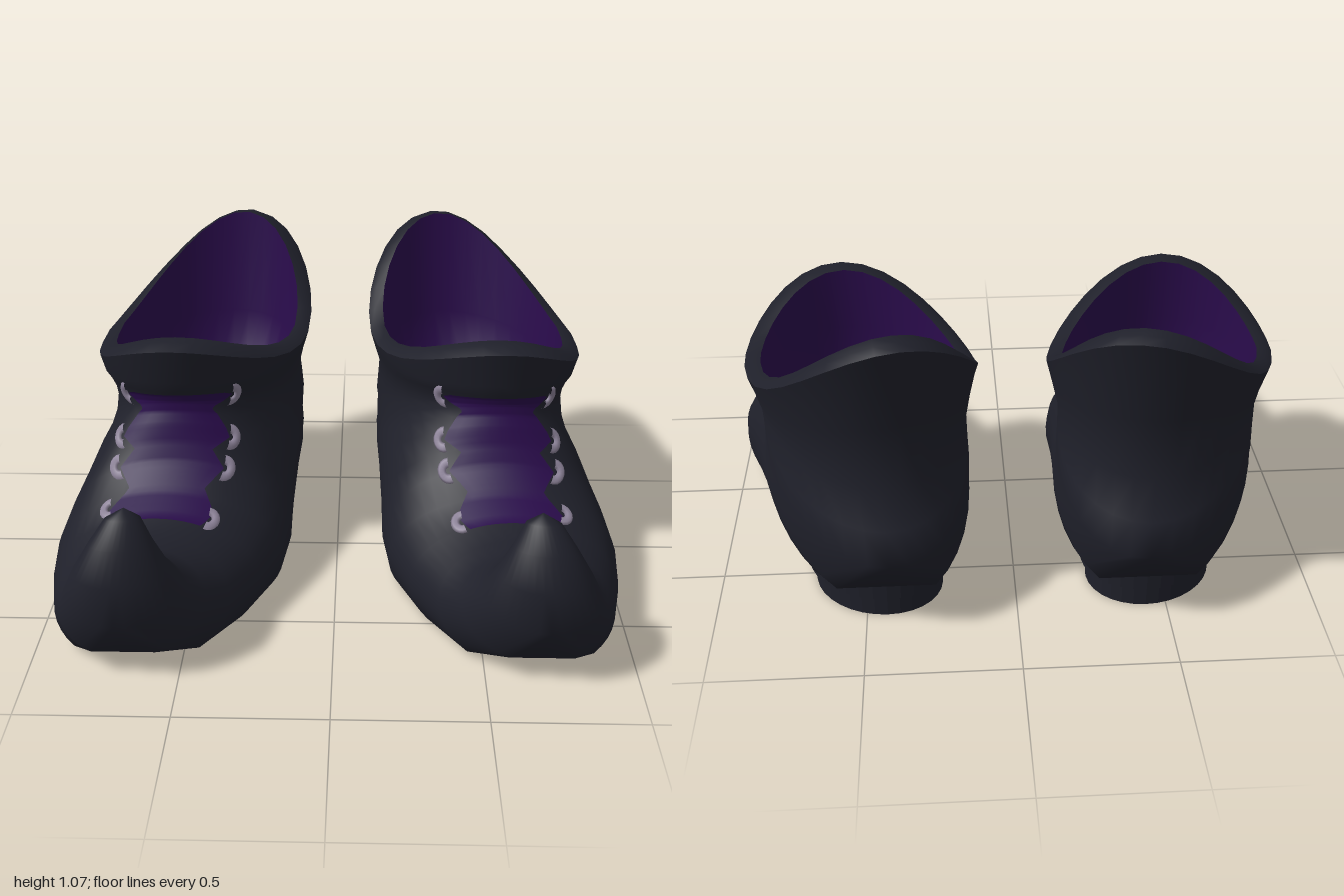
import * as THREE from 'three';
import { mergeGeometries, mergeVertices } from 'three/addons/utils/BufferGeometryUtils.js';

const leather = new THREE.MeshStandardMaterial({ color: 0x1f202a });
leather.name = 'black leather';
const purple = new THREE.MeshStandardMaterial({ color: 0x290b4a });
purple.name = 'purple cloth';
const metal = new THREE.MeshStandardMaterial({ color: 0x8c8298 });
metal.name = 'grey eyelet';

// Cross-sections fanning from the toe tip to the collar:
// [top z, top y, bottom z, bottom y, half width, cut (1 = full ellipse, less = flat bottom), side dip]
const BODY = [
  [0.675, 0.565, 0.675, 0.565, 0, 1, 0],
  [0.645, 0.525, 0.735, 0.55, 0.055, 1, 0],
  [0.65, 0.46, 0.80, 0.48, 0.10, 1, 0],
  [0.645, 0.40, 0.845, 0.37, 0.15, 1, 0],
  [0.61, 0.355, 0.857, 0.23, 0.195, 1, 0],
  [0.55, 0.335, 0.79, 0.087, 0.24, 0.9, 0],
  [0.48, 0.335, 0.67, 0.015, 0.295, 0.7, 0],
  [0.38, 0.345, 0.47, 0, 0.36, 0.54, 0],
  [0.28, 0.385, 0.27, 0, 0.405, 0.45, 0],
  [0.20, 0.46, 0.10, 0, 0.405, 0.5, 0],
  [0.165, 0.52, -0.09, 0.03, 0.385, 0.6, 0],
  [0.14, 0.58, -0.37, 0.08, 0.365, 0.72, 0],
  [0.12, 0.62, -0.60, 0.09, 0.35, 0.78, 0],
  [0.115, 0.65, -0.735, 0.13, 0.34, 0.88, 0],
  [0.115, 0.66, -0.847, 0.30, 0.335, 1, 0],
  [0.12, 0.68, -0.81, 0.41, 0.335, 1, 0],
  [0.13, 0.70, -0.737, 0.53, 0.34, 1, 0],
  [0.14, 0.74, -0.745, 0.75, 0.36, 1, 0.07],
  [0.165, 0.87, -0.815, 1.05, 0.378, 1, 0.22],
];
const COLLAR = [
  BODY[18],
  [0.12, 0.888, -0.785, 1.065, 0.355, 1, 0.22],
  [0.07, 0.885, -0.745, 1.068, 0.325, 1, 0.215],
];
const LINING = [
  COLLAR[2],
  [0.07, 0.66, -0.69, 0.68, 0.31, 1, 0.02],
  [0.08, 0.44, -0.64, 0.46, 0.28, 1, 0],
  [0.04, 0.30, -0.46, 0.31, 0.20, 1, 0],
  [-0.12, 0.27, -0.12, 0.27, 0, 1, 0],
];

// The foot axis points slightly outward
const axisX = z => 0.55 + 0.163 * z;

function sectionAt(rings, s) {
  const i = Math.min(Math.floor(s), rings.length - 2);
  return rings[i].map((v, k) => v + (rings[i + 1][k] - v) * (s - i));
}

// Point on a lofted surface: s along the sections, t the angle from the top, lift outward
function surfacePoint(rings, s, t, lift = 0) {
  const [az, ay, bz, by, hw, cut, dip] = sectionAt(rings, s);
  const len = Math.hypot(az - bz, ay - by) || 1;
  const w = Math.cos(t);
  const v = (w + cut) / (1 + cut) + (lift * w) / len;
  const z = bz + (az - bz) * v;
  // The rim dips at the sides, a little lower on the outer back
  const sag = 1 - w * w + 0.4 * Math.sin(t) * Math.max(0, -w);
  const y = by + (ay - by) * v - dip * sag;
  return new THREE.Vector3(axisX(z) + Math.sin(t) * (hw + lift), y, z);
}

const edgeAngle = (rings, s) => Math.acos(-Math.min(1, sectionAt(rings, s)[5]));

// Weld the parts into one smooth skin
function weld(parts) {
  const g = mergeGeometries(parts);
  g.deleteAttribute('normal');
  const welded = mergeVertices(g, 1e-5);
  welded.computeVertexNormals();
  return welded;
}

// Skin between rows and columns of points
function grid(rows, cols, point) {
  const pos = [], idx = [];
  for (let i = 0; i <= rows; i++)
    for (let j = 0; j <= cols; j++) pos.push(...point(i, j / cols).toArray());
  for (let i = 0; i < rows; i++)
    for (let j = 0; j < cols; j++) {
      const a = i * (cols + 1) + j, b = a + cols + 1;
      idx.push(a, a + 1, b, a + 1, b + 1, b);
    }
  const g = new THREE.BufferGeometry();
  g.setAttribute('position', new THREE.Float32BufferAttribute(pos, 3));
  g.setIndex(idx);
  return weld([g]);
}

const loft = rings => grid(rings.length - 1, 32, (i, f) => {
  const T = edgeAngle(rings, i);
  return surfacePoint(rings, i, (2 * f - 1) * T);
});

// Flat underside between the lower edges of the body
const underside = (from, to) => grid(to - from, 2, (i, f) => {
  const T = edgeAngle(BODY, from + i);
  return surfacePoint(BODY, from + i, T).lerp(surfacePoint(BODY, from + i, -T), f);
});

// Half width of the lacing panel along the instep: [section, half width]
const SCALLOPS = [[6.8, 0.15], [7.4, 0.18], [8.2, 0.13], [9, 0.18], [9.8, 0.135],
  [10.6, 0.185], [12.5, 0.12], [15, 0.18], [15.4, 0.16]];
// Sections where eyelets sit, on the inner (-1) and outer (1) edge
const EYELETS = [[-1, [7.15, 9, 10.6, 14.9]], [1, [7.5, 9, 10.6, 14.9]]];

function panelAngle(s) {
  let k = 0;
  while (k < SCALLOPS.length - 2 && s > SCALLOPS[k + 1][0]) k++;
  const [s0, w0] = SCALLOPS[k], [s1, w1] = SCALLOPS[k + 1];
  const w = w0 + (w1 - w0) * Math.min(1, (s - s0) / (s1 - s0));
  return Math.asin(w / sectionAt(BODY, s)[4]);
}

const lacingPanel = () => grid(43, 10, (i, f) => {
  const s = 6.8 + 0.2 * i;
  return surfacePoint(BODY, s, (2 * f - 1) * panelAngle(s), 0.008);
});

// Horseshoe eyelet lying on the surface, bulging away from the panel
function eyelet(s, side) {
  const t = side * panelAngle(s);
  const p = surfacePoint(BODY, s, t, 0.01);
  const dt = surfacePoint(BODY, s, t + 0.02, 0.01).sub(p);
  const ds = surfacePoint(BODY, s + 0.02, t, 0.01).sub(p);
  const normal = dt.clone().cross(ds).normalize();
  const out = dt.normalize().multiplyScalar(side);
  const up = normal.clone().cross(out);
  const arc = Math.PI * 1.1;
  const g = new THREE.TorusGeometry(0.026, 0.015, 6, 10, arc);
  g.rotateZ(-arc / 2);
  g.scale(1, 1.15, 0.6);
  g.applyMatrix4(new THREE.Matrix4().makeBasis(out, up, normal).setPosition(p));
  return g;
}

// D-shaped heel block, rounded at the back
function heelBlock(hw, front, back, y0, y1) {
  const shape = new THREE.Shape();
  const mid = back + hw * 0.9;
  shape.moveTo(-hw, -front);
  shape.lineTo(hw, -front);
  shape.lineTo(hw, -mid);
  shape.absellipse(0, -mid, hw, mid - back, 0, Math.PI, false);
  const g = new THREE.ExtrudeGeometry(shape, { depth: y1 - y0, bevelEnabled: false, curveSegments: 8 });
  g.rotateX(-Math.PI / 2);
  g.translate(0, y0, 0);
  const p = g.attributes.position;
  for (let i = 0; i < p.count; i++) p.setX(i, p.getX(i) + axisX(p.getZ(i)));
  g.computeVertexNormals();
  return g;
}

// Flip a geometry across x = 0, keeping its faces outward
function mirrored(g) {
  const m = g.clone();
  if (!m.index) m.setIndex([...Array(m.attributes.position.count).keys()]);
  m.scale(-1, 1, 1);
  const ix = m.index.array;
  for (let i = 0; i < ix.length; i += 3) [ix[i + 1], ix[i + 2]] = [ix[i + 2], ix[i + 1]];
  m.computeVertexNormals();
  return m;
}

function makeShoe(name, side) {
  const shoe = new THREE.Group();
  shoe.name = name;
  const add = (part, geometry, material) => {
    const mesh = new THREE.Mesh(side > 0 ? geometry : mirrored(geometry), material);
    mesh.name = part;
    shoe.add(mesh);
  };
  add('upper', weld([loft(BODY), underside(4, 6), underside(11, 14)]), leather);
  add('collar', loft(COLLAR), leather);
  add('lining', loft(LINING), purple);
  add('sole', underside(6, 11), purple);
  add('heelWelt', heelBlock(0.235, -0.37, -0.73, 0.07, 0.17), leather);
  add('heel', heelBlock(0.215, -0.375, -0.725, 0, 0.1), [purple, leather]);
  add('lacingPanel', lacingPanel(), purple);
  for (const [edge, sections] of EYELETS)
    for (const s of sections) add('eyelet', eyelet(s, edge), metal);
  return shoe;
}

export function createModel() {
  const model = new THREE.Group();
  model.name = 'pairOfCurledShoes';
  model.add(makeShoe('leftShoe', 1), makeShoe('rightShoe', -1));
  return model;
}
